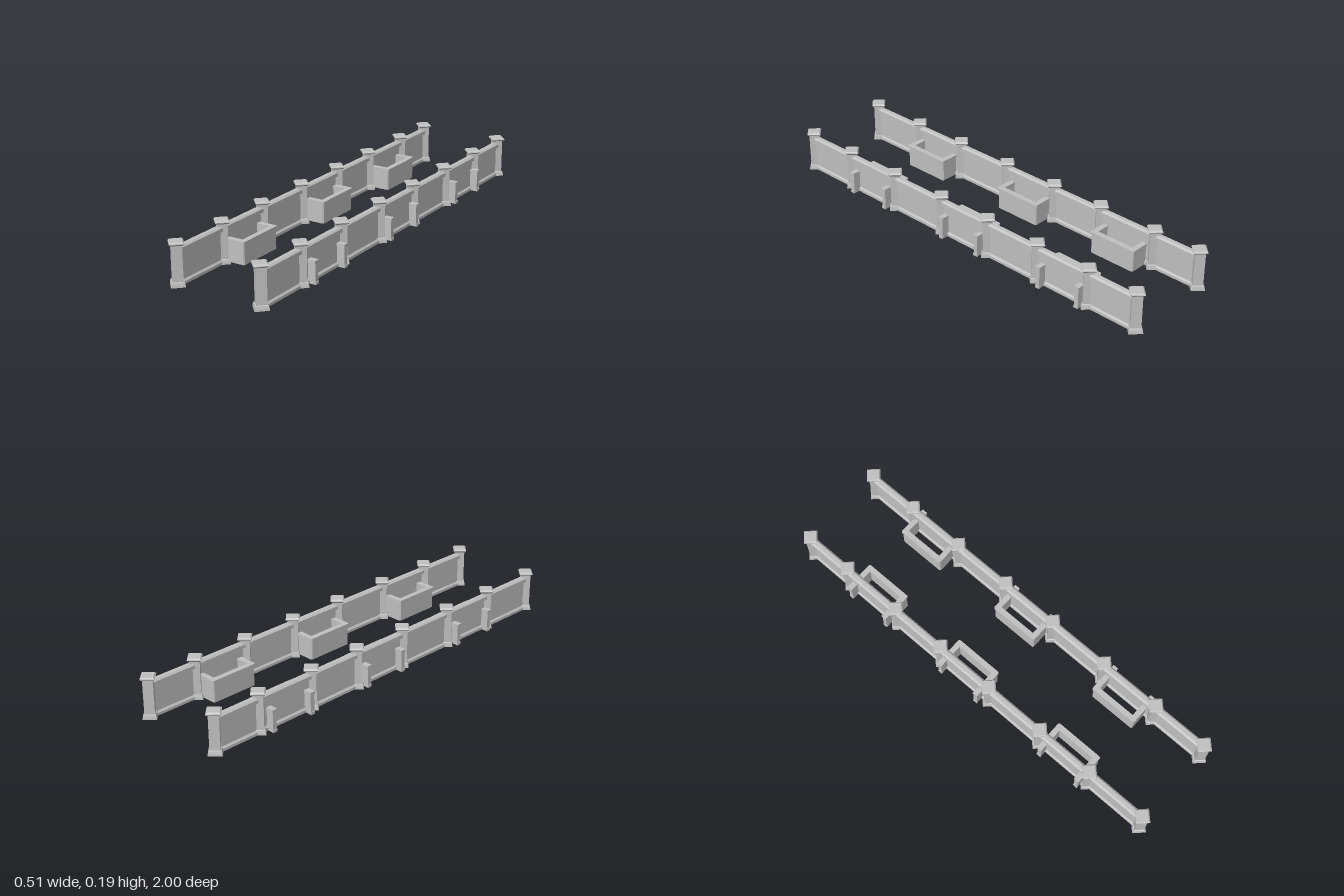
import * as THREE from 'three';

const stone = new THREE.MeshStandardMaterial({ color: 0xc0c0c0, flatShading: true });
stone.name = 'grey stone';

function add(parent, geometry, name, x = 0, y = 0, z = 0) {
  const mesh = new THREE.Mesh(geometry, stone);
  mesh.name = name;
  mesh.position.set(x, y, z);
  parent.add(mesh);
  return mesh;
}

const shapeOf = (pts) => new THREE.Shape(pts.map(([x, y]) => new THREE.Vector2(x, y)));

// Square post set diagonally, with flared foot and cap
function postGeometry() {
  const profile = [
    [0, 0], [0.042, 0], [0.041, 0.008], [0.037, 0.02], [0.031, 0.022],
    [0.031, 0.175], [0.036, 0.176], [0.043, 0.182], [0.043, 0.185], [0.035, 0.191], [0, 0.191],
  ];
  return new THREE.LatheGeometry(profile.map(([r, y]) => new THREE.Vector2(r, y)), 4);
}

// Wall section: plinth, thin panel and bevelled coping, swept along z
function wallGeometry(length) {
  const half = [
    [0.016, 0], [0.016, 0.012], [0.009, 0.02], [0.009, 0.138],
    [0.017, 0.142], [0.017, 0.158], [0.009, 0.165],
  ];
  const mirrored = half.map(([x, y]) => [-x, y]).reverse();
  const geometry = new THREE.ExtrudeGeometry(shapeOf([...half, ...mirrored]), {
    depth: length, bevelEnabled: false,
  });
  return geometry.translate(0, 0, -length / 2);
}

// Open U-shaped plan: two arms through the wall joined by a front panel
function uGeometry(front, back, halfLength, thick, height, chamfer) {
  const h = halfLength, i = halfLength - thick, f = front - thick;
  const geometry = new THREE.ExtrudeGeometry(shapeOf([
    [back, -h], [front - chamfer, -h], [front, -h + chamfer],
    [front, h - chamfer], [front - chamfer, h], [back, h],
    [back, i], [f, i], [f, -i], [back, -i],
  ]), { depth: height, bevelEnabled: false });
  return geometry.rotateX(-Math.PI / 2);
}

function planter(parent, side, x, z) {
  const group = new THREE.Group();
  group.name = 'planter';
  group.position.set(x, 0, z);
  // the front panel looks towards the middle of the walkway
  if (side > 0) group.rotation.y = Math.PI;
  add(group, uGeometry(0.096, -0.045, 0.114, 0.02, 0.09, 0.005), 'planterWalls');
  add(group, uGeometry(0.099, -0.047, 0.117, 0.025, 0.013, 0.005), 'planterRim', 0, 0.09);
  // Splayed feet under the arms' outer ends
  for (const s of [-1, 1]) {
    add(group, new THREE.BoxGeometry(0.006, 0.012, 0.022), 'planterFoot', -0.045, 0.006, s * 0.104);
  }
  parent.add(group);
}

const sides = [
  {
    name: 'rightParapet', side: -1, x: -0.205,
    posts: [-0.958, -0.73, -0.44, -0.175, 0.105, 0.395, 0.67, 0.958],
    planters: [-0.582, -0.04, 0.538],
  },
  {
    name: 'leftParapet', side: 1, x: 0.205,
    posts: [-0.958, -0.715, -0.44, -0.16, 0.115, 0.407, 0.695, 0.958],
    planters: [-0.587, -0.026, 0.545],
  },
];

export function createModel() {
  const model = new THREE.Group();
  model.name = 'parapets';
  const post = postGeometry();
  for (const { name, side, x, posts, planters } of sides) {
    const parapet = new THREE.Group();
    parapet.name = name;
    posts.forEach((z, i) => {
      add(parapet, post, 'post', x, 0, z);
      if (i === 0) return;
      // Wall section between neighbouring posts
      const previous = posts[i - 1];
      add(parapet, wallGeometry(z - previous - 0.02), 'wallSection', x, 0, (z + previous) / 2);
    });
    for (const z of planters) planter(parapet, side, x, z);
    model.add(parapet);
  }
  return model;
}
